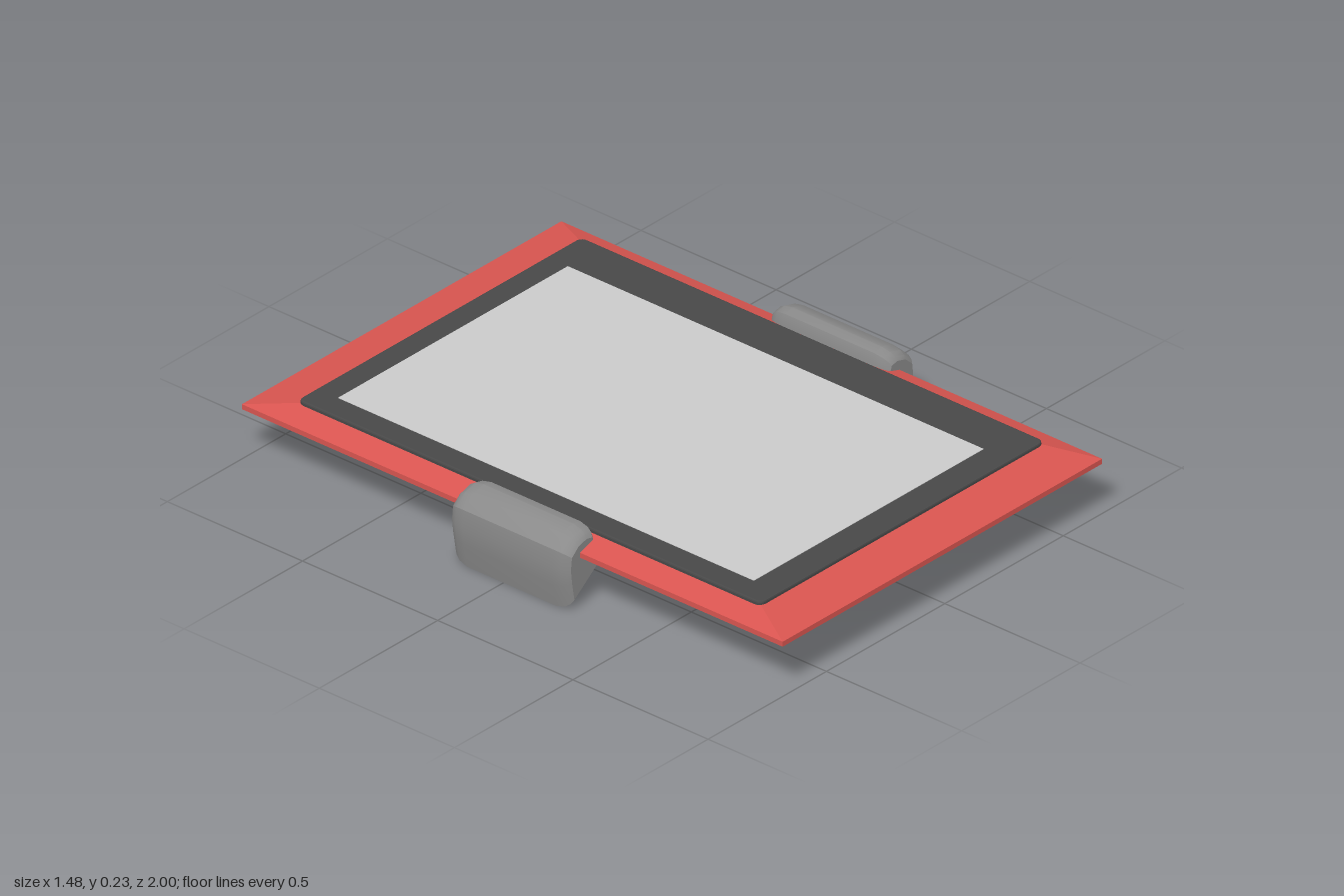
import * as THREE from 'three';
import { toCreasedNormals } from 'three/addons/utils/BufferGeometryUtils.js';

const material = (color) => new THREE.MeshStandardMaterial({ color });

function addMesh(parent, name, geometry, mat) {
  const mesh = new THREE.Mesh(geometry, mat);
  mesh.name = name;
  parent.add(mesh);
  return mesh;
}

// Joins rings of [x, y, z] corners (counter-clockwise seen from the last ring) and caps both ends.
function loft(rings, crease) {
  const n = rings[0].length;
  const index = [];
  for (let r = 0; r < rings.length - 1; r++) {
    for (let i = 0; i < n; i++) {
      const a = r * n + i, b = r * n + (i + 1) % n;
      index.push(a, b, b + n, a, b + n, a + n);
    }
  }
  const last = (rings.length - 1) * n;
  for (let i = 1; i < n - 1; i++) {
    index.push(0, i + 1, i, last, last + i, last + i + 1);
  }
  const geometry = new THREE.BufferGeometry();
  geometry.setAttribute('position', new THREE.Float32BufferAttribute(rings.flat(2), 3));
  geometry.setIndex(index);
  return toCreasedNormals(geometry, crease);
}

// Level rectangle from x0..x1 and z0..z1
const rectangle = (y, x0, x1, z0, z1) => [[x0, y, z1], [x1, y, z1], [x1, y, z0], [x0, y, z0]];

// Flat slab with rounded corners and a small bevel, lying in the xz plane
function roundedSlab(x0, x1, z0, z1, y0, y1, radius, bevel) {
  const a = x0 + bevel, b = x1 - bevel, c = -z1 + bevel, d = -z0 - bevel;
  const s = new THREE.Shape();
  s.moveTo(a + radius, c);
  s.lineTo(b - radius, c);
  s.quadraticCurveTo(b, c, b, c + radius);
  s.lineTo(b, d - radius);
  s.quadraticCurveTo(b, d, b - radius, d);
  s.lineTo(a + radius, d);
  s.quadraticCurveTo(a, d, a, d - radius);
  s.lineTo(a, c + radius);
  s.quadraticCurveTo(a, c, a + radius, c);
  const geometry = new THREE.ExtrudeGeometry(s, {
    depth: y1 - y0 - 2 * bevel, bevelSize: bevel, bevelThickness: bevel,
    bevelSegments: 2, curveSegments: 5,
  });
  return geometry.rotateX(-Math.PI / 2).translate(0, y0 + bevel, 0);
}

// Clamp cross-section on the +x side, counter-clockwise
const CLAMP = [
  [0.722, 0], [0.735, 0.075], [0.742, 0.135], [0.736, 0.188], [0.698, 0.222],
  [0.652, 0.235], [0.62, 0.228], [0.61, 0.2], [0.61, 0.165], [0.59, 0.1],
];
const CLAMP_Z = 0.03;

function createClamp(side, grey, yellow) {
  const clamp = new THREE.Group();
  clamp.name = side > 0 ? 'leftClamp' : 'rightClamp';

  // The section shrinks toward both ends to round them off
  const steps = [[-0.22, 0.74], [-0.211, 0.85], [-0.195, 0.94], [-0.165, 1],
    [0.165, 1], [0.195, 0.94], [0.211, 0.85], [0.22, 0.74]];
  const rings = steps.map(([z, s]) => {
    const ring = CLAMP.map(([x, y]) =>
      [side * (0.668 + (x - 0.668) * s), 0.13 + (y - 0.13) * s, CLAMP_Z + z]);
    return side > 0 ? ring : ring.reverse();
  });
  addMesh(clamp, 'clampBody', loft(rings, 0.5), grey);

  // Pad on the sloping underside
  const pad = addMesh(clamp, 'clampPad', new THREE.BoxGeometry(0.1, 0.006, 0.24), yellow);
  pad.position.set(side * 0.656, 0.05, CLAMP_Z);
  pad.rotation.z = -side * Math.atan2(0.1, 0.132);
  return clamp;
}

export function createModel() {
  const model = new THREE.Group();
  model.name = 'framedTablet';
  const red = material(0xd95550);
  const dark = material(0x484848);
  const grey = material(0x8a8a8a);
  const yellow = material(0xd8b400);
  const screen = material(0xbcbcbc);

  // Red plate with a thin rim and sloping top border
  addMesh(model, 'basePlate', loft([
    rectangle(0.16, -0.685, 0.664, -1, 1),
    rectangle(0.176, -0.685, 0.664, -1, 1),
    rectangle(0.201, -0.605, 0.582, -0.855, 0.85),
  ], 0.1), red);

  // Dark bezel and screen
  addMesh(model, 'bezel', roundedSlab(-0.61, 0.588, -0.86, 0.853, 0.19, 0.212, 0.018, 0.005), dark);
  const display = addMesh(model, 'screen', new THREE.BoxGeometry(0.97, 0.004, 1.538), screen);
  display.position.set(-0.045, 0.2115, -0.011);

  // Side clamps that also serve as feet
  for (const side of [1, -1]) model.add(createClamp(side, grey, yellow));
  return model;
}
